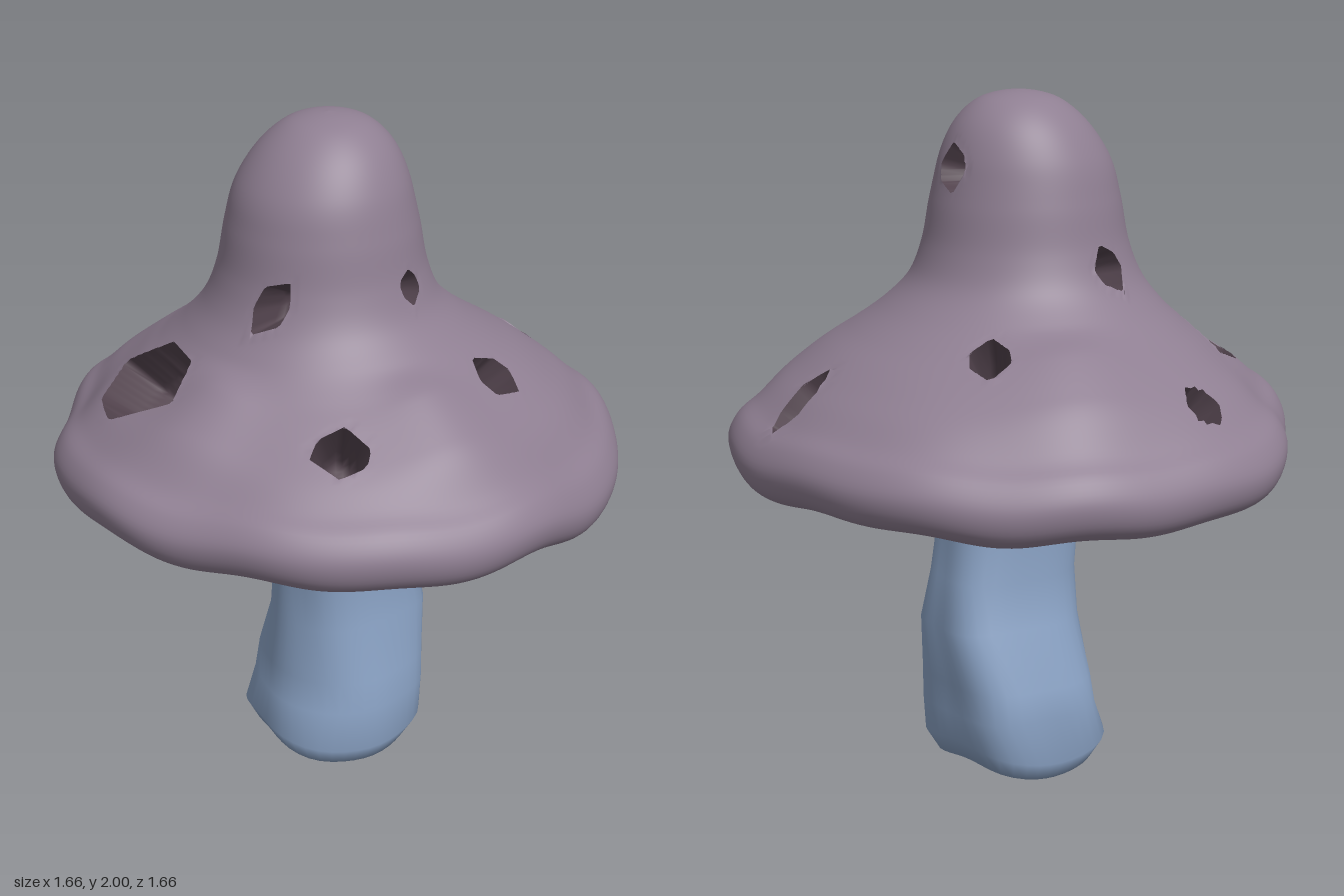
import * as THREE from 'three';

const SEG = 200, ROWS = 170;
const smooth = (a, b, x) => THREE.MathUtils.smoothstep(x, a, b);
const bump = (t, center, width) => {
  const d = Math.atan2(Math.sin(t - center), Math.cos(t - center)) / width;
  return Math.exp(-d * d);
};

// Cap profile (radius, height): dome, flared skirt, rolled rim, hollow underside
const PROFILE = [
  [0, 2], [0.06, 1.993], [0.12, 1.972], [0.185, 1.915], [0.24, 1.82], [0.272, 1.7], [0.297, 1.57],
  [0.335, 1.475], [0.4, 1.4], [0.48, 1.335], [0.55, 1.287], [0.62, 1.236], [0.68, 1.19], [0.745, 1.13],
  [0.8, 1.085], [0.83, 1.02], [0.81, 0.95], [0.74, 0.91], [0.64, 0.915], [0.56, 0.95], [0.525, 1.01],
  [0.53, 1.09], [0.47, 1.2], [0.36, 1.31], [0.22, 1.4], [0, 1.42],
];

// Pits: centre, half width, half height, tilt, depth
const PITS = [
  [-0.15, 1.28, 0.54, 0.18, 0.135, 0.45, 0.2],
  [0.15, 1.54, 0.32, 0.05, 0.075, -0.5, 0.13],
  [-0.29, 1.52, 0.1, 0.055, 0.06, 0.3, 0.12],
  [-0.65, 1.19, 0.16, 0.06, 0.06, 0.2, 0.14],
  [0.5, 1.24, 0.33, 0.08, 0.065, -0.2, 0.19],
  [0.44, 1.29, -0.22, 0.075, 0.065, 0.2, 0.17],
  [0.29, 1.56, -0.06, 0.04, 0.045, 0, 0.1],
  [0, 1.8, -0.23, 0.06, 0.06, 0.3, 0.1],
  [-0.36, 1.34, -0.34, 0.06, 0.065, 0.1, 0.17],
  [0.07, 1.18, -0.68, 0.045, 0.11, 0, 0.13],
].map(([x, y, z, a, b, tilt, depth]) => {
  const t = Math.atan2(x, z), slope = y > 1.45 ? 0.25 : 0.95;
  const side = new THREE.Vector3(Math.cos(t), 0, -Math.sin(t));
  const normal = new THREE.Vector3(Math.sin(t), slope, Math.cos(t)).normalize();
  const up = new THREE.Vector3().crossVectors(normal, side);
  return { c: new THREE.Vector3(x, y, z), a, b, tilt, side, up, normal, depth };
});

// Irregular six-sided distance: 1 on the edge of the pit
function pitDistance(p, pit) {
  const d = p.clone().sub(pit.c);
  if (Math.abs(d.dot(pit.normal)) > 0.16) return 9;
  const u = d.dot(pit.side), v = d.dot(pit.up), cs = Math.cos(pit.tilt), sn = Math.sin(pit.tilt);
  const x = (u * cs + v * sn) / pit.a, y = (v * cs - u * sn) / pit.b;
  let r = 0;
  for (let k = 0; k < 6; k++) {
    const t = k * Math.PI / 3 + 0.25 * Math.sin(k * 2.3 + pit.a * 40);
    r = Math.max(r, (x * Math.cos(t) + y * Math.sin(t)) / 0.93);
  }
  return r;
}

// Presses a point into any pit it falls in and snaps near points onto the pit's edge
function pressPits(p) {
  for (const pit of PITS) {
    const r = pitDistance(p, pit), band = 0.011 / Math.min(pit.a, pit.b);
    if (Math.abs(r - 1) < band) {
      const d = p.clone().sub(pit.c);
      d.addScaledVector(pit.normal, -d.dot(pit.normal));
      p.addScaledVector(d, 1 / r - 1);
      return false;
    }
    if (r < 1) {
      p.addScaledVector(pit.normal, -pit.depth * (0.55 + 0.45 * (1 - smooth(0.4, 1, r))));
      return true;
    }
  }
  return false;
}

// Wavy, lumpy cap surface before pitting
function capPoint(r, y, t, outer) {
  const rim = smooth(0.4, 0.8, r), low = 1 - smooth(1.0, 1.3, y);
  const dip = 0.055 * bump(t, -0.7, 0.3) + 0.015 * bump(t, 0.55, 0.2);
  const wave = 0.006 * Math.sin(5 * t + 1) + 0.005 * Math.sin(9 * t);
  const sag = 0.035 * bump(t, 0.1, 0.55) - 0.05 * bump(t, 2.15, 0.35) - 0.025 * bump(t, -1.85, 0.5)
    + 0.008 * Math.sin(7 * t + 2) + 0.006 * Math.sin(12 * t);
  const swell = outer ? smooth(0.4, 0.52, r) * (1 - smooth(0.64, 0.78, r)) : 0;
  const lift = 0.035 * (bump(t, -1.9, 0.35) + bump(t, 1.5, 0.25) + bump(t, 0.3, 0.25));
  const lean = outer ? 0.033 * smooth(1.25, 1.5, y) * (1 - 0.7 * smooth(1.75, 2, y)) : 0;
  const R = r * (1 - (dip - wave) * rim);
  return new THREE.Vector3(R * Math.sin(t), y + sag * rim * low + lift * swell, R * Math.cos(t) + lean);
}

function buildCap() {
  const curve = new THREE.CatmullRomCurve3(PROFILE.map(([r, y]) => new THREE.Vector3(r, y, 0)), false, 'centripetal');
  const profile = curve.getSpacedPoints(ROWS);
  const rimRow = profile.findIndex((p) => p.x > 0.825);
  const pos = [], inPit = [], capFaces = [], pitFaces = [];
  profile.forEach((q, i) => {
    for (let j = 0; j < SEG; j++) {
      const p = capPoint(Math.max(q.x, 0), q.y, j / SEG * Math.PI * 2, i < rimRow);
      inPit.push(i < rimRow && pressPits(p));
      pos.push(p.x, p.y, p.z);
    }
  });
  for (let i = 0; i < ROWS; i++) for (let j = 0; j < SEG; j++) {
    const a = i * SEG + j, d = i * SEG + (j + 1) % SEG, b = a + SEG, e = d + SEG;
    for (const f of [[a, b, d], [b, e, d]])
      (f.some((k) => inPit[k]) ? pitFaces : capFaces).push(...f);
  }
  // Skin and pits are shaded separately, so the pit edges stay sharp
  return [capFaces, pitFaces].map((faces) => {
    const remap = new Map(), verts = [];
    const index = faces.map((k) => {
      if (!remap.has(k)) {
        remap.set(k, verts.length / 3);
        verts.push(pos[k * 3], pos[k * 3 + 1], pos[k * 3 + 2]);
      }
      return remap.get(k);
    });
    return surface(verts, index);
  });
}

function surface(verts, index) {
  const g = new THREE.BufferGeometry();
  g.setAttribute('position', new THREE.Float32BufferAttribute(verts, 3));
  g.setIndex(index);
  g.computeVertexNormals();
  return g;
}

// Stem rings: height, centre x, centre z, half width, half depth
const RINGS = [
  [0.045, 0, 0, 0.001, 0.001], [0.04, 0, 0, 0.13, 0.13], [0.03, -0.01, -0.01, 0.215, 0.215],
  [0.09, -0.01, -0.01, 0.25, 0.25], [0.2, -0.01, -0.03, 0.245, 0.235], [0.29, -0.015, -0.04, 0.237, 0.23],
  [0.46, 0.003, -0.05, 0.187, 0.234], [0.6, 0.01, -0.035, 0.17, 0.215], [0.78, 0.018, -0.01, 0.18, 0.2],
  [0.95, 0.005, 0.012, 0.178, 0.198], [1.12, 0, 0.02, 0.185, 0.2], [1.24, 0, 0.02, 0.17, 0.18],
  [1.26, 0, 0.02, 0.001, 0.001],
];

function buildStem() {
  const N = 40, verts = [], index = [];
  RINGS.forEach(([y, cx, cz, rx, rz], i) => {
    for (let j = 0; j < N; j++) {
      const t = j / N * Math.PI * 2, s = Math.sin(t), c = Math.cos(t);
      const square = Math.pow(s ** 4 + c ** 4, -0.13);
      const lump = 1 + 0.025 * Math.sin(5 * t + y * 4) - 0.02;
      const foot = y < 0.15 ? -0.025 * Math.cos(2 * t) + 0.008 * Math.sin(3 * t) : 0;
      verts.push(cx + rx * s * square * lump, y - foot * rx / 0.25, cz + rz * c * square * lump);
      if (i < RINGS.length - 1) {
        const a = i * N + j, d = i * N + (j + 1) % N;
        index.push(a, d, a + N, d, d + N, a + N);
      }
    }
  });
  return surface(verts, index);
}

export function createModel() {
  const group = new THREE.Group();
  const add = (name, geometry, color, side = THREE.FrontSide) => {
    const mesh = new THREE.Mesh(geometry, new THREE.MeshStandardMaterial({ color, side }));
    mesh.name = name;
    group.add(mesh);
  };
  const [cap, pits] = buildCap();
  add('cap', cap, 0x8f7f92);
  add('capPits', pits, 0x52434d, THREE.DoubleSide);
  add('stem', buildStem(), 0x8aa2c4);
  return group;
}
